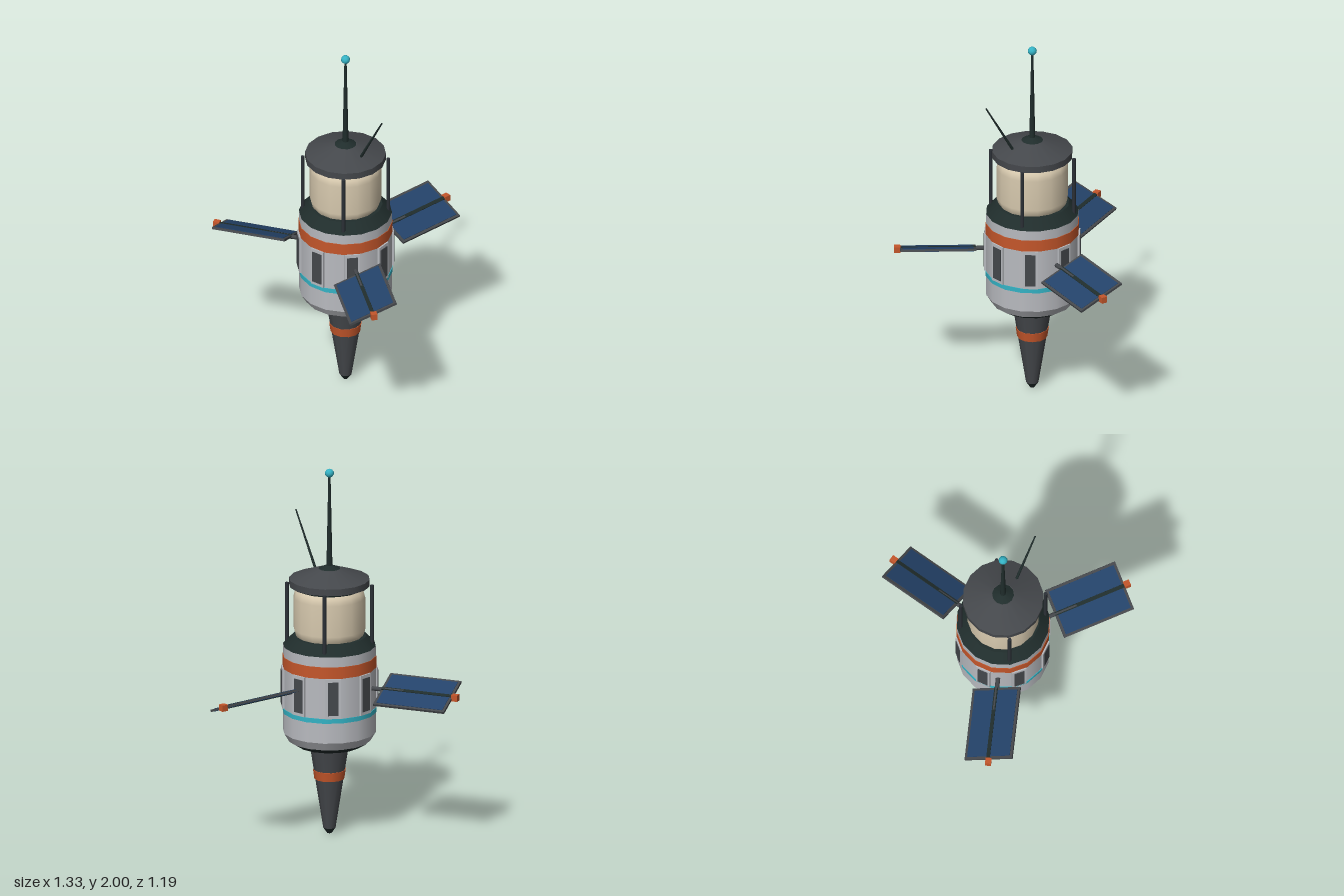
import * as THREE from 'three';

const mat = (name, color) => {
  const m = new THREE.MeshStandardMaterial({ color });
  m.name = name;
  return m;
};

export function createModel() {
  const hull = mat('hull grey', 0xb9bbc0);
  const charcoal = mat('charcoal', 0x45484c);
  const dark = mat('dark green black', 0x202d2c);
  const orange = mat('orange', 0xc6572b);
  const cyan = mat('cyan', 0x35b4c6);
  const cream = mat('cream', 0xd8caaf);
  const navy = mat('solar blue', 0x24436a);
  const strut = mat('strut grey', 0x2c3137);

  const model = new THREE.Group();
  model.name = 'probe';
  const core = new THREE.Group();
  core.name = 'core';
  core.position.z = 0.131;
  model.add(core);

  const add = (parent, name, geometry, material, x = 0, y = 0, z = 0) => {
    const mesh = new THREE.Mesh(geometry, material);
    mesh.name = name;
    mesh.position.set(x, y, z);
    parent.add(mesh);
    return mesh;
  };
  // Upright round section between two heights
  const section = (name, material, y0, r0, y1, r1, sides = 16) =>
    add(core, name, new THREE.CylinderGeometry(r1, r0, y1 - y0, sides), material, 0, (y0 + y1) / 2, 0);
  // Tapered rod between two points
  const rod = (parent, name, material, a, b, ra, rb, sides = 6) => {
    const from = new THREE.Vector3(...a), to = new THREE.Vector3(...b);
    const dir = to.clone().sub(from);
    const mesh = add(parent, name, new THREE.CylinderGeometry(rb, ra, dir.length(), sides), material);
    mesh.position.copy(from).add(to).multiplyScalar(0.5);
    mesh.quaternion.setFromUnitVectors(new THREE.Vector3(0, 1, 0), dir.normalize());
    return mesh;
  };

  // Tail cone
  section('tailTip', dark, 0.005, 0.012, 0.035, 0.033, 12);
  section('tailCone', charcoal, 0.035, 0.033, 0.5, 0.106, 12);
  section('tailBand', orange, 0.305, 0.08, 0.355, 0.087, 12);

  // Main body
  section('bodyBase', dark, 0.49, 0.17, 0.52, 0.218);
  section('bodyChamfer', hull, 0.52, 0.218, 0.565, 0.245);
  section('body', hull, 0.565, 0.245, 1.037, 0.245);
  section('cyanBand', cyan, 0.675, 0.248, 0.7, 0.248);
  section('orangeBand', orange, 0.92, 0.248, 0.983, 0.248);
  section('shoulder', dark, 1.037, 0.245, 1.09, 0.195);

  // Framed windows, one on every second facet
  for (let i = 0; i < 8; i++) {
    const bay = new THREE.Group();
    bay.name = 'window';
    bay.rotation.y = THREE.MathUtils.degToRad(11.25 + 45 * i);
    core.add(bay);
    add(bay, 'windowFrame', new THREE.BoxGeometry(0.08, 0.218, 0.02), hull, 0, 0.811, 0.241);
    add(bay, 'windowPane', new THREE.BoxGeometry(0.056, 0.182, 0.006), charcoal, 0, 0.811, 0.252);
  }

  // Cream tank with rounded rims
  const tank = [[0.17, 1.08], [0.182, 1.1], [0.19, 1.13], [0.19, 1.3], [0.182, 1.33], [0.17, 1.345]];
  add(core, 'tank', new THREE.LatheGeometry(tank.map(p => new THREE.Vector2(...p)), 16), cream);

  // Four posts carrying the roof
  for (const x of [-0.159, 0.159]) {
    for (const z of [-0.159, 0.159]) {
      rod(core, 'post', strut, [x, 1.05, z], [x, 1.37, z], 0.01, 0.01, 8);
    }
  }

  // Roof cap
  section('roofCollar', dark, 1.335, 0.16, 1.365, 0.16);
  section('roofUnderside', dark, 1.358, 0.2, 1.364, 0.212);
  section('roofRim', charcoal, 1.364, 0.213, 1.4, 0.213);
  section('roof', charcoal, 1.4, 0.213, 1.455, 0.06);

  // Mast, beacon and side whip
  section('mastBase', dark, 1.447, 0.076, 1.472, 0.018, 12);
  section('mast', dark, 1.46, 0.016, 1.965, 0.006, 8);
  const beacon = new THREE.IcosahedronGeometry(0.024, 1);
  add(core, 'beacon', beacon, cyan, 0, 1.976, 0);
  rod(core, 'whipAntenna', dark, [0.115, 1.42, 0], [0.285, 1.712, 0], 0.008, 0.004);

  // Three tilted solar panels
  for (const angle of [60, 180, 300]) {
    const arm = new THREE.Group();
    arm.name = 'solarArm';
    arm.position.y = 0.823;
    arm.rotation.y = THREE.MathUtils.degToRad(angle);
    core.add(arm);
    rod(arm, 'boom', charcoal, [0, 0, 0.22], [0, 0, 0.42], 0.012, 0.012, 8);
    add(arm, 'tipLight', new THREE.BoxGeometry(0.032, 0.034, 0.034), orange, 0, 0, 0.71);
    const panel = new THREE.Group();
    panel.name = 'solarPanel';
    panel.rotation.z = THREE.MathUtils.degToRad(22);
    panel.position.z = 0.496;
    arm.add(panel);
    add(panel, 'panelFrame', new THREE.BoxGeometry(0.27, 0.012, 0.4), charcoal);
    add(panel, 'panelCells', new THREE.BoxGeometry(0.242, 0.016, 0.372), navy);
    add(panel, 'panelSpar', new THREE.BoxGeometry(0.02, 0.022, 0.4), dark);
  }

  return model;
}
